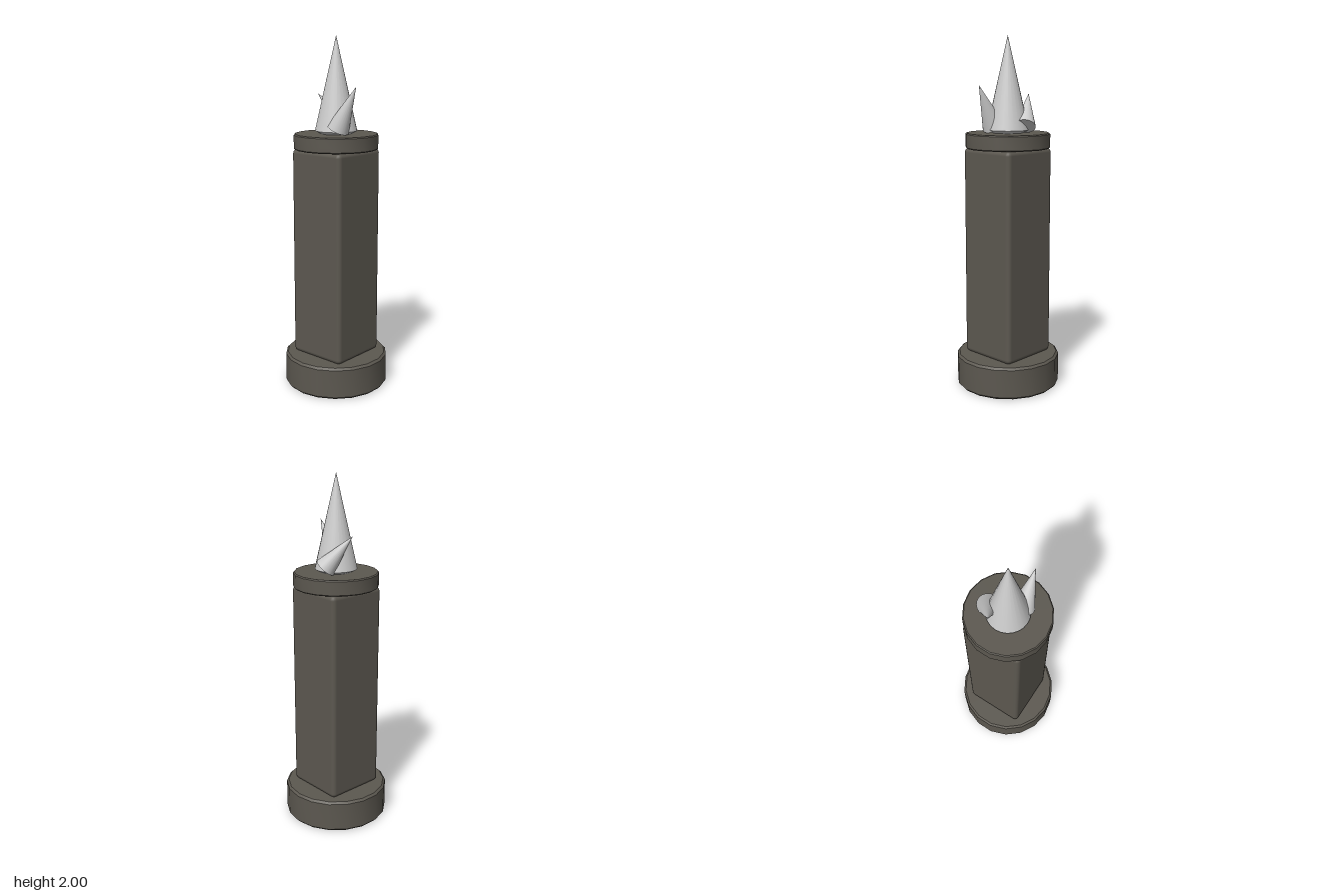
import * as THREE from 'three';
import { toCreasedNormals } from 'three/addons/utils/BufferGeometryUtils.js';
import { RoundedBoxGeometry } from 'three/addons/geometries/RoundedBoxGeometry.js';

const stone = new THREE.MeshStandardMaterial({ color: 0x5c5850 });
const crystal = new THREE.MeshStandardMaterial({ color: 0xcccccc });

function part(name, geometry, material) {
  const mesh = new THREE.Mesh(geometry, material);
  mesh.name = name;
  return mesh;
}

// Closed shape turned from a profile listed bottom to top
function turned(profile, sides) {
  const points = profile.map(([r, y]) => new THREE.Vector2(r, y));
  return toCreasedNormals(new THREE.LatheGeometry(points, sides), 0.6);
}

// Disc with slightly bevelled rims
function disc(radius, y0, y1, bevel) {
  return turned([
    [0, y0], [radius - bevel, y0], [radius, y0 + bevel],
    [radius, y1 - bevel], [radius - bevel, y1], [0, y1],
  ], 18);
}

// Leaning spike from the centre of its base to its tip
function spike(name, base, tip, radius) {
  const from = new THREE.Vector3(...base);
  const axis = new THREE.Vector3(...tip).sub(from);
  const mesh = part(name, turned([[0, 0], [radius, 0], [0, axis.length()]], 24), crystal);
  mesh.position.copy(from);
  mesh.quaternion.setFromUnitVectors(new THREE.Vector3(0, 1, 0), axis.normalize());
  return mesh;
}

export function createModel() {
  const model = new THREE.Group();
  model.name = 'crystalPillar';

  // Round foot, square shaft and round cap
  model.add(part('base', disc(0.297, 0, 0.185, 0.012), stone));
  const shaft = part('shaft', new RoundedBoxGeometry(0.356, 1.2, 0.356, 2, 0.026), stone);
  shaft.position.y = 0.782;
  model.add(shaft);
  model.add(part('cap', disc(0.238, 1.38, 1.466, 0.006), stone));

  // Upright crystal with a tucked-in foot
  model.add(part('mainCrystal', turned([[0, 1.464], [0.09, 1.466], [0.118, 1.482], [0, 2]], 24), crystal));

  // Two smaller crystals leaning outwards
  model.add(spike('leftCrystal', [0.06, 1.497, 0.052], [0.18, 1.73, 0.044], 0.063));
  model.add(spike('rightCrystal', [-0.03, 1.505, -0.103], [-0.152, 1.68, -0.018], 0.06));
  return model;
}
